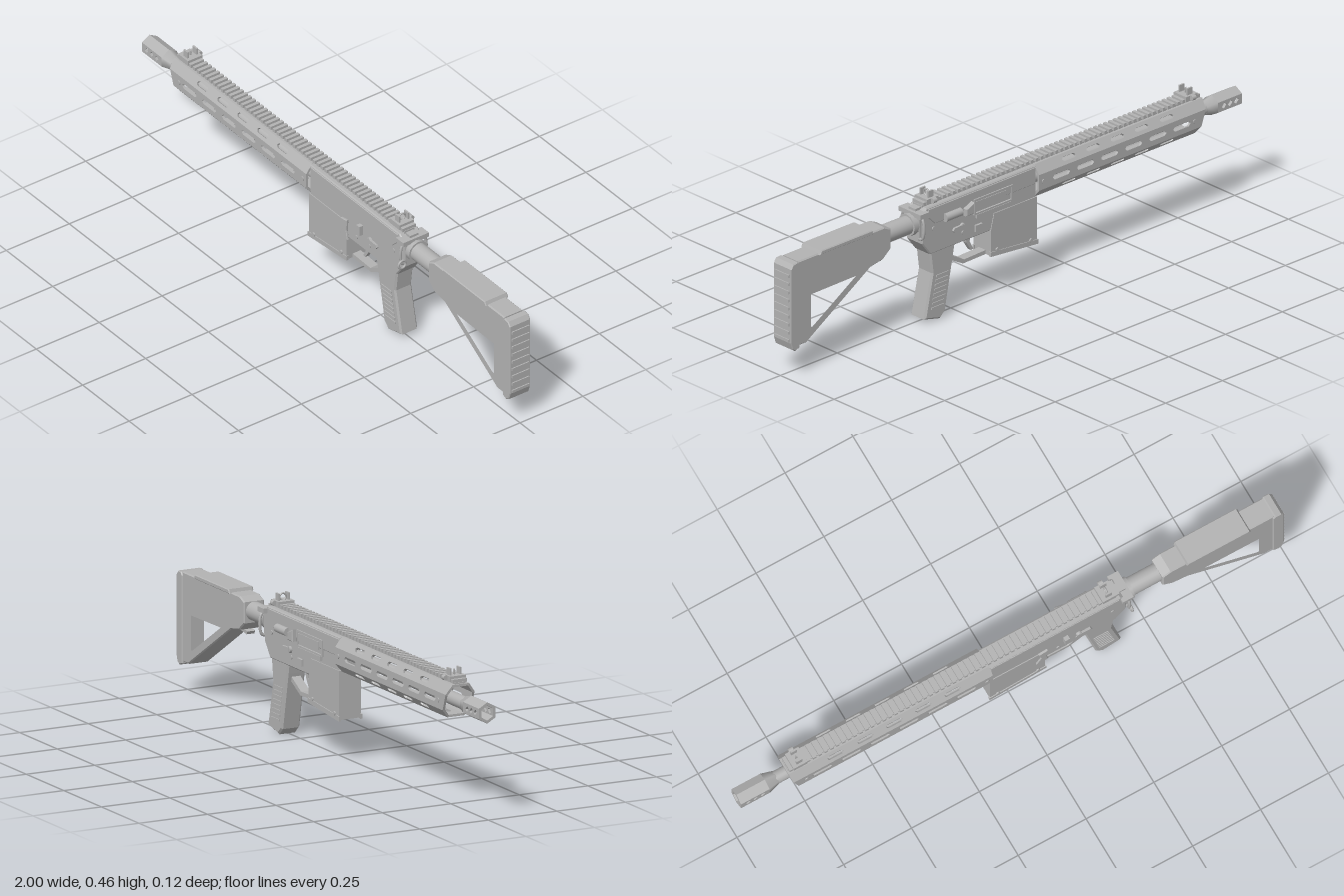
import * as THREE from 'three';
import { mergeGeometries } from 'three/addons/utils/BufferGeometryUtils.js';

const grey = new THREE.MeshStandardMaterial({ color: 0xb2b2b2 });
grey.name = 'grey';

const toShape = (pts) => new THREE.Shape(pts.map(([x, y]) => new THREE.Vector2(x, y)));

export function createModel() {
  const model = new THREE.Group();
  model.name = 'rifle';
  const add = (name, geo, x = 0, y = 0, z = 0) => {
    const m = new THREE.Mesh(geo, grey);
    m.name = name;
    m.position.set(x, y, z - 0.004);
    model.add(m);
    return m;
  };
  const box = (name, x0, x1, y0, y1, z0, z1) =>
    add(name, new THREE.BoxGeometry(x1 - x0, y1 - y0, z1 - z0), (x0 + x1) / 2, (y0 + y1) / 2, (z0 + z1) / 2);
  // side profile extruded between z0 and z1, with a small bevel
  const profile = (name, pts, z0, z1, bevel = 0, holes = []) => {
    const s = toShape(pts);
    holes.forEach((h) => s.holes.push(toShape(h)));
    const geo = new THREE.ExtrudeGeometry(s, {
      depth: z1 - z0 - 2 * bevel, bevelEnabled: bevel > 0, bevelThickness: bevel,
      bevelSize: bevel, bevelOffset: -bevel, bevelSegments: 1,
    });
    return add(name, geo, 0, 0, z0 + bevel);
  };
  // cylinder along x
  const rod = (name, x0, x1, r0, r1, y, z = 0, sides = 24) => {
    const geo = new THREE.CylinderGeometry(r1, r0, x1 - x0, sides).rotateZ(-Math.PI / 2);
    return add(name, geo, (x0 + x1) / 2, y, z);
  };
  // cylinder along z
  const pin = (name, x, y, r, z0, z1) =>
    add(name, new THREE.CylinderGeometry(r, r, z1 - z0, 14).rotateX(Math.PI / 2), x, y, (z0 + z1) / 2);
  // hollow tube of flat panels along x; ring holds [z, y] corners, slots[i] the openings of panel i
  const panelTube = (name, ring, startX, endX, t, slots) => {
    const parts = ring.map((a, i) => {
      const b = ring[(i + 1) % ring.length];
      const dz = b[0] - a[0], dy = b[1] - a[1], len = Math.hypot(dz, dy);
      const s = toShape([[startX(a[1]), 0], [endX, 0], [endX, len], [startX(b[1]), len]]);
      const { xs = [], w = 0, h = 0, lean = 0 } = slots[i] || {};
      xs.forEach((x) => {
        const c = Math.min(w, h) * 0.4, l = w / 2, k = h / 2, m = len / 2;
        s.holes.push(toShape([[x - l + c, m - k], [x + l - c, m - k], [x + l, m - k + c], [x + l + lean, m + k - c],
          [x + l - c + lean, m + k], [x - l + c + lean, m + k], [x - l + lean, m + k - c], [x - l, m - k + c]]));
      });
      const geo = new THREE.ExtrudeGeometry(s, { depth: t, bevelEnabled: false }).translate(0, 0, -t);
      return geo.applyMatrix4(new THREE.Matrix4().makeBasis(
        new THREE.Vector3(1, 0, 0), new THREE.Vector3(0, dy / len, dz / len), new THREE.Vector3(0, -dz / len, dy / len),
      ).setPosition(0, a[1], a[0]));
    });
    return add(name, mergeGeometries(parts));
  };

  // muzzle brake and barrel
  const cy = 0.353;
  const hex = [0, 1, 2, 3, 4, 5].map((i) => {
    const a = -Math.PI / 2 + (i * Math.PI) / 3;
    return [0.035 * Math.cos(a), cy + 0.035 * Math.sin(a)];
  });
  const ports = { xs: [-0.977, -0.95, -0.923], w: 0.016, h: 0.018, lean: 0.004 };
  panelTube('muzzleBrake', hex, () => -1, -0.895, 0.009, { 1: ports, 4: ports });
  add('muzzleTaper', new THREE.CylinderGeometry(0.024, 0.035, 0.04, 6, 1, false, Math.PI / 2)
    .rotateZ(-Math.PI / 2), -0.875, cy, 0);
  rod('barrel', -0.87, -0.08, 0.022, 0.022, cy);

  // slotted eight-sided handguard with a raked front edge
  const upper = { xs: [-0.658, -0.548, -0.441, -0.334, -0.227], w: 0.058, h: 0.015 };
  const side = { xs: [-0.714, -0.608, -0.502, -0.396, -0.29, -0.184], w: 0.074, h: 0.018 };
  const guardRing = [[0.03, 0.297], [0.053, 0.325], [0.053, 0.38], [0.03, 0.411],
    [-0.03, 0.411], [-0.053, 0.38], [-0.053, 0.325], [-0.03, 0.297]];
  panelTube('handguard', guardRing, (y) => -0.79 - 0.035 * Math.min(1, (y - 0.297) / 0.1), -0.085, 0.008,
    { 0: upper, 1: side, 2: upper, 4: upper, 5: side, 6: upper, 7: side });
  for (const s of [-1, 1]) {
    for (const x of [-0.77, -0.105]) pin('handguardScrew', x, cy, 0.008, s * 0.053 - 0.003, s * 0.053 + 0.003);
  }

  // top rail
  box('railBase', -0.82, 0.4, 0.405, 0.416, -0.02, 0.02);
  const teeth = [];
  for (let i = 0; i < 57; i++) {
    teeth.push(new THREE.BoxGeometry(0.012, 0.012, 0.052).translate(-0.812 + i * 0.0215, 0.42, 0));
  }
  add('railTeeth', mergeGeometries(teeth));

  // receiver, grip and hollow magazine well
  profile('receiver', [[-0.088, 0.41], [0.395, 0.41], [0.415, 0.395], [0.415, 0.29], [0.378, 0.242],
    [0.115, 0.242], [-0.088, 0.23]], -0.037, 0.037, 0.004);
  profile('upperReceiverRidge', [[-0.085, 0.405], [0.39, 0.405], [0.39, 0.375], [0.36, 0.345], [-0.085, 0.345]],
    -0.039, 0.039, 0.003);
  profile('grip', [[0.262, 0.26], [0.27, 0.215], [0.307, 0.025], [0.33, 0.003], [0.4, 0.02], [0.367, 0.174],
    [0.378, 0.26]].map(([x, y]) => [x, y - 0.003]), -0.034, 0.034, 0.006);
  for (const s of [-1, 1]) {
    for (let i = 0; i < 8; i++) {
      const y = 0.045 + i * 0.0155, x = 0.345 - (y - 0.045) * 0.2;
      box('gripRib', x - 0.027, x + 0.027, y, y + 0.007, s * 0.034 - 0.003, s * 0.034 + 0.003);
    }
    const a = s * 0.036 - 0.004;
    profile('magazineWellSide', [[-0.088, 0.3], [-0.088, 0.137], [0.115, 0.155], [0.115, 0.242], [0.1, 0.3]], a, a + 0.008);
    profile('magazineWellLip', [[-0.091, 0.15], [-0.091, 0.134], [0.118, 0.153], [0.118, 0.169]],
      s * 0.039 - 0.004, s * 0.039 + 0.004);
    pin('wellScrew', -0.06, 0.155, 0.007, s * 0.041 - 0.004, s * 0.041 + 0.004);
    pin('wellScrew', 0.088, 0.17, 0.007, s * 0.041 - 0.004, s * 0.041 + 0.004);
    for (const [x, y] of [[-0.055, 0.28], [0.165, 0.27], [0.235, 0.275], [0.365, 0.33]]) {
      pin('receiverPin', x, y, 0.007, s * 0.037 - 0.003, s * 0.037 + 0.003);
    }
    // safety lever
    pin('safetyPivot', 0.24, 0.3, 0.011, s * 0.04 - 0.006, s * 0.04 + 0.006);
    profile('safetyLever', [[0.235, 0.292], [0.28, 0.29], [0.285, 0.298], [0.28, 0.306], [0.235, 0.308]],
      s * 0.043 - 0.004, s * 0.043 + 0.004);
  }
  box('magazineWellFront', -0.088, -0.077, 0.138, 0.25, -0.036, 0.036);
  box('magazineWellBack', 0.104, 0.115, 0.154, 0.25, -0.036, 0.036);

  // trigger and guard
  profile('triggerGuard', [[0.113, 0.168], [0.113, 0.154], [0.215, 0.152], [0.28, 0.188], [0.275, 0.202], [0.21, 0.165]],
    -0.016, 0.016);
  profile('trigger', [[0.175, 0.25], [0.198, 0.25], [0.192, 0.215], [0.172, 0.183], [0.162, 0.186], [0.178, 0.215]],
    -0.008, 0.008);

  // left side controls
  profile('boltCatch', [[0.09, 0.307], [0.122, 0.312], [0.118, 0.27], [0.125, 0.237], [0.08, 0.237], [0.098, 0.27]],
    0.036, 0.045, 0.002);
  box('magazineButton', 0.183, 0.2, 0.298, 0.333, 0.036, 0.052);

  // right side: ejection port frame, bolt, deflector, release button
  for (const y of [0.325, 0.374]) box('portFrame', 0.02, 0.19, y - 0.003, y + 0.003, -0.043, -0.036);
  for (const x of [0.023, 0.187]) box('portFrame', x - 0.003, x + 0.003, 0.325, 0.374, -0.043, -0.036);
  box('bolt', 0.05, 0.185, 0.34, 0.366, -0.041, -0.036);
  box('portCover', 0.03, 0.18, 0.308, 0.322, -0.045, -0.036);
  profile('shellDeflector', [[0.2, 0.375], [0.2, 0.335], [0.235, 0.335], [0.235, 0.36]], -0.054, -0.036, 0.003);
  rod('forwardAssist', 0.25, 0.32, 0.014, 0.014, 0.355, -0.042, 16);
  box('magazineRelease', 0.155, 0.185, 0.262, 0.285, -0.045, -0.036);

  // charging handle
  box('chargingHandle', 0.395, 0.435, 0.386, 0.402, -0.051, 0.051);
  box('chargingHandleStem', 0.38, 0.425, 0.385, 0.41, -0.016, 0.016);

  // buffer tube with end plate, nut and sling loops
  rod('bufferTube', 0.41, 0.57, 0.031, 0.031, 0.356);
  rod('castleNut', 0.428, 0.448, 0.038, 0.038, 0.356, 0, 12);
  box('endPlate', 0.412, 0.424, 0.308, 0.395, -0.034, 0.034);
  for (const s of [-1, 1]) {
    const path = new THREE.CatmullRomCurve3([[0.028, 0.385], [0.043, 0.382], [0.05, 0.365], [0.05, 0.33], [0.043, 0.312],
      [0.028, 0.308]].map(([z, y]) => new THREE.Vector3(0.42, y, s * z)));
    add('slingLoop', new THREE.TubeGeometry(path, 20, 0.005, 8));
  }
  add('slingRing', new THREE.TorusGeometry(0.014, 0.004, 8, 20).rotateY(Math.PI / 2), 0.425, 0.313, 0.048);

  // front and rear sights
  for (const [x, front] of [[-0.78, true], [0.36, false]]) {
    box('sightBase', x - 0.025, x + 0.025, 0.416, 0.434, -0.029, 0.029);
    rod('sightKnob', x - 0.008, x + 0.008, 0.009, 0.009, 0.427, -0.034, 12);
    for (const s of [-1, 1]) box('sightEar', x - 0.01, x + 0.012, 0.43, 0.457, s * 0.018 - 0.003, s * 0.018 + 0.003);
    if (front) rod('sightPost', x - 0.003, x + 0.003, 0.003, 0.003, 0.441, 0, 8).scale.y = 4;
    else add('sightAperture', new THREE.TorusGeometry(0.0115, 0.003, 8, 24).rotateY(Math.PI / 2), x, 0.444, 0);
  }

  // skeleton stock
  profile('stock', [[0.55, 0.388], [0.58, 0.402], [0.96, 0.402], [0.96, 0.105], [0.922, 0.105], [0.64, 0.28],
    [0.585, 0.29], [0.55, 0.318]], -0.037, 0.037, 0.004,
  [[[0.7, 0.273], [0.908, 0.273], [0.908, 0.15], [0.895, 0.15]]]);
  profile('cheekRest', [[0.635, 0.398], [0.64, 0.413], [0.865, 0.413], [0.872, 0.398]], -0.045, 0.045, 0.003);
  profile('adjustmentLever', [[0.57, 0.285], [0.575, 0.275], [0.645, 0.285], [0.645, 0.297], [0.62, 0.3]], -0.014, 0.014);

  // ribbed butt pad
  profile('buttPad', [[0.955, 0.39], [0.965, 0.402], [0.985, 0.4], [0.996, 0.385], [0.996, 0.125], [0.988, 0.1],
    [0.975, 0.092], [0.955, 0.1]], -0.041, 0.041, 0.003);
  for (let i = 0; i < 9; i++) {
    const y = 0.133 + i * 0.0284;
    box('buttPadRib', 0.99, 1, y - 0.005, y + 0.005, -0.034, 0.034);
  }
  return model;
}
